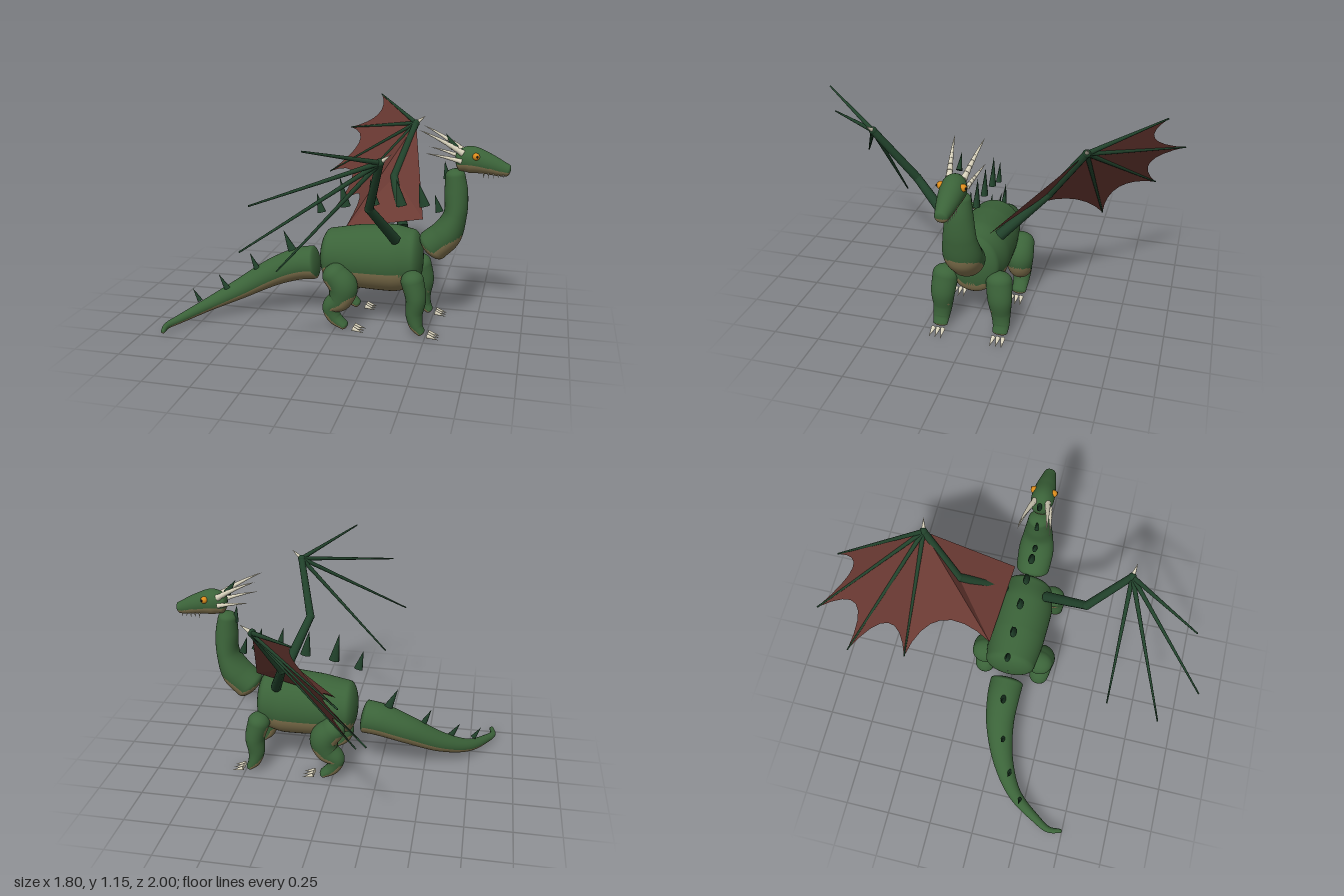
import * as THREE from 'three';

const paint = (name, color, side = THREE.FrontSide) => {
  const m = new THREE.MeshStandardMaterial({ color, side });
  m.name = name;
  return m;
};
const V = (p) => new THREE.Vector3(...p);
const flip = (p, s) => [p[0], p[1], p[2] * s];

export function createModel() {
  const hide = paint('green hide', 0x3b6339);
  const belly = paint('tan belly', 0x857650);
  const dark = paint('dark green', 0x21422b);
  const bone = paint('bone', 0xd8d2bc);
  const skin = paint('wing skin', 0x6b3a33, THREE.DoubleSide);
  const amber = paint('amber', 0xdc8c1c);
  const black = paint('black', 0x15120f);
  const model = new THREE.Group();
  model.name = 'dragon';

  const add = (name, geo, mat) => {
    const mesh = new THREE.Mesh(geo, mat);
    mesh.name = name;
    model.add(mesh);
    return mesh;
  };

  // Round-ended sweep through stations [x, y, z, radius along ref, other radius];
  // downward-facing skin gets the belly colour.
  function sweep(name, stations, cap, ref = [0, 0, 1], steps = 48, sides = 48) {
    const path = new THREE.CatmullRomCurve3(stations.map((s) => V(s.slice(0, 3))));
    const radii = new THREE.CatmullRomCurve3(stations.map((s) => V([s[3], s[4] ?? s[3], 0])));
    const rings = [];
    const capSteps = 8;
    for (let k = 0; k < capSteps; k++) rings.push([0, -Math.PI / 2 * (1 - k / capSteps), cap[0]]);
    for (let k = 0; k <= steps; k++) rings.push([k / steps, 0, 0]);
    for (let k = 1; k <= capSteps; k++) rings.push([1, Math.PI / 2 * k / capSteps, cap[1]]);
    const pos = [];
    for (const [t, ang, len] of rings) {
      const T = path.getTangent(t);
      const a = V(ref).addScaledVector(T, -V(ref).dot(T)).normalize();
      const b = T.clone().cross(a);
      const r = radii.getPoint(t);
      const c = path.getPoint(t).addScaledVector(T, len * Math.sin(ang));
      const k = Math.max(Math.cos(ang), 0.01);
      for (let j = 0; j < sides; j++) {
        const q = j / sides * Math.PI * 2;
        const p = c.clone().addScaledVector(a, r.x * k * Math.cos(q)).addScaledVector(b, r.y * k * Math.sin(q));
        pos.push(p.x, p.y, p.z);
      }
    }
    const tris = [];
    for (let i = 0; i < rings.length - 1; i++) {
      for (let j = 0; j < sides; j++) {
        const A = i * sides + j, B = i * sides + (j + 1) % sides;
        tris.push([A, B, A + sides], [B, B + sides, A + sides]);
      }
    }
    const geo = new THREE.BufferGeometry();
    geo.setAttribute('position', new THREE.Float32BufferAttribute(pos, 3));
    geo.setIndex(tris.flat());
    geo.computeVertexNormals();
    const n = geo.attributes.normal;
    const under = (t) => (n.getY(t[0]) + n.getY(t[1]) + n.getY(t[2])) / 3 < -0.25;
    const top = tris.filter((t) => !under(t)), low = tris.filter(under);
    geo.setIndex([...top, ...low].flat());
    geo.addGroup(0, top.length * 3, 0);
    geo.addGroup(top.length * 3, low.length * 3, 1);
    return add(name, geo, [hide, belly]);
  }

  // Tapered rod or spike from a to b
  function rod(name, a, b, r0, r1, mat, squash = 1, sides = 10) {
    const d = V(b).sub(V(a));
    const geo = new THREE.CylinderGeometry(r1, r0, d.length(), sides);
    geo.scale(1, 1, squash);
    const mesh = add(name, geo, mat);
    mesh.position.copy(V(a)).addScaledVector(d, 0.5);
    mesh.quaternion.setFromUnitVectors(V([0, 1, 0]), d.normalize());
    return mesh;
  }
  function ball(name, p, r, mat) {
    add(name, new THREE.SphereGeometry(r, 16, 12), mat).position.set(...p);
  }

  // Trunk, neck, head and tail
  sweep('body', [[-0.06, 0.383, 0, 0.14, 0.147], [0.1, 0.382, 0, 0.16, 0.177],
    [0.28, 0.387, 0, 0.165, 0.187], [0.4, 0.39, 0, 0.14, 0.165]], [0.055, 0.055]);
  sweep('neck', [[0.505, 0.475, 0, 0.095, 0.09], [0.575, 0.545, 0, 0.1, 0.085],
    [0.62, 0.66, 0, 0.085, 0.062], [0.62, 0.78, 0, 0.07, 0.062], [0.612, 0.87, 0, 0.058, 0.052]], [0.045, 0.035]);
  sweep('head', [[0.632, 0.95, 0, 0.045, 0.055], [0.69, 0.958, 0, 0.062, 0.071], [0.77, 0.942, 0, 0.055, 0.057],
    [0.84, 0.92, 0, 0.042, 0.043], [0.88, 0.91, 0, 0.033, 0.032]], [0.022, 0.016]);
  sweep('tail', [[-0.16, 0.325, 0.005, 0.094], [-0.24, 0.312, 0.005, 0.092], [-0.39, 0.255, 0.02, 0.079],
    [-0.58, 0.155, 0.085, 0.057], [-0.735, 0.085, 0.19, 0.037], [-0.84, 0.05, 0.34, 0.024],
    [-0.88, 0.04, 0.42, 0.018], [-0.873, 0.037, 0.49, 0.012]], [0.025, 0.01], [0, 1, 0], 72);

  // Spines: [base x, y, z, tip x, y, radius]
  for (const [x, y, z, tx, ty, r] of [
    [-0.115, 0.62, 0, -0.143, 0.73, 0.025], [0.02, 0.66, 0, -0.01, 0.82, 0.03],
    [0.18, 0.68, 0, 0.155, 0.825, 0.03], [0.33, 0.685, 0, 0.3, 0.83, 0.03],
    [0.455, 0.69, 0, 0.42, 0.82, 0.03], [0.535, 0.665, 0, 0.508, 0.76, 0.022],
    [0.57, 0.85, 0, 0.555, 0.945, 0.02], [0.605, 1.015, 0, 0.555, 1.09, 0.022],
    [-0.285, 0.39, 0.015, -0.335, 0.505, 0.025], [-0.475, 0.265, 0.06, -0.522, 0.37, 0.022],
    [-0.635, 0.17, 0.135, -0.685, 0.255, 0.019], [-0.765, 0.12, 0.225, -0.805, 0.19, 0.016],
  ]) rod('spine', [x, y, z], [tx, ty, z], r, 0, dark, 0.65);

  const wrist = [0.315, 1.04, 0.55], elbow = [0.225, 0.757, 0.355], shoulder = [0.32, 0.53, 0.12];
  const tips = [[0.04, 1.152, 0.905], [-0.178, 0.918, 0.995], [-0.285, 0.65, 0.85], [-0.195, 0.468, 0.58]];

  for (const s of [1, -1]) {
    // Legs with claws
    sweep('frontLeg', [[0.42, 0.315, 0.145 * s, 0.07, 0.062], [0.443, 0.22, 0.155 * s, 0.065, 0.055],
      [0.437, 0.13, 0.16 * s, 0.052, 0.046], [0.45, 0.07, 0.165 * s, 0.045, 0.036],
      [0.475, 0.035, 0.165 * s, 0.04, 0.022]], [0.055, 0.015]);
    sweep('hindLeg', [[-0.002, 0.32, 0.16 * s, 0.075, 0.07], [0.045, 0.26, 0.165 * s, 0.077, 0.08],
      [0.03, 0.185, 0.165 * s, 0.068, 0.068], [-0.022, 0.135, 0.165 * s, 0.055, 0.047],
      [-0.003, 0.075, 0.165 * s, 0.046, 0.038], [0.05, 0.033, 0.165 * s, 0.04, 0.024]], [0.06, 0.02]);
    for (const x of [0.105, 0.512]) {
      for (const dz of [-0.032, 0, 0.032]) {
        rod('claw', [x, 0.026, 0.165 * s + dz * 0.8], [x + 0.064, 0.009, 0.165 * s + dz], 0.013, 0, bone);
      }
    }

    // Eyes, teeth and ridged horns
    ball('eye', [0.72, 0.985, 0.054 * s], 0.019, amber);
    ball('pupil', [0.728, 0.986, 0.069 * s], 0.006, black);
    for (let i = 0; i < 5; i++) {
      const x = 0.76 + i * 0.025, z = (0.032 - i * 0.002) * s;
      rod('tooth', [x, 0.895, z], [x, 0.868, z], 0.005, 0, bone, 1, 6);
    }
    for (const [a, m, b, r] of [
      [[0.65, 0.995, 0.035], [0.53, 1.075, 0.06], [0.425, 1.115, 0.075], 0.018],
      [[0.645, 0.955, 0.05], [0.55, 0.985, 0.075], [0.46, 0.997, 0.088], 0.014],
    ]) {
      const curve = new THREE.QuadraticBezierCurve3(V(flip(a, s)), V(flip(m, s)), V(flip(b, s)));
      const n = 8;
      for (let i = 0; i < n; i++) {
        const r0 = r * (1 - i / n);
        rod('horn', curve.getPoint(i / n).toArray(), curve.getPoint((i + 1) / n).toArray(),
          r0, i === n - 1 ? 0 : r0 * 0.7, bone);
      }
    }

    // Wing arm and fingers
    rod('upperArm', flip(shoulder, s), flip(elbow, s), 0.03, 0.023, dark);
    rod('forearm', flip(elbow, s), flip(wrist, s), 0.023, 0.019, dark);
    ball('elbow', flip(elbow, s), 0.024, dark);
    ball('wrist', flip(wrist, s), 0.021, dark);
    for (const t of tips) rod('finger', flip(wrist, s), flip(t, s), 0.013, 0.004, dark);
    rod('thumbClaw', flip(wrist, s), [0.372, 1.085, 0.562 * s], 0.014, 0, bone);
  }

  // Right wing skin: scalloped fan from the wrist plus inner panels
  const [W, E] = [wrist, elbow].map((p) => V(flip(p, -1)));
  const rear = V([-0.01, 0.5, -0.13]), front = V([0.435, 0.59, -0.09]);
  const edge = [...tips.map((t) => V(flip(t, -1))), rear];
  const verts = [];
  const tri = (...ps) => ps.forEach((p) => verts.push(...p.toArray()));
  for (let i = 0; i < edge.length - 1; i++) {
    const ctrl = edge[i].clone().lerp(edge[i + 1], 0.5).lerp(W, 0.52);
    const pts = new THREE.QuadraticBezierCurve3(edge[i], ctrl, edge[i + 1]).getPoints(8);
    for (let k = 0; k < 8; k++) tri(W, pts[k], pts[k + 1]);
  }
  tri(W, rear, E);
  tri(E, rear, front);
  tri(W, E, front);
  const wing = new THREE.BufferGeometry();
  wing.setAttribute('position', new THREE.Float32BufferAttribute(verts, 3));
  wing.computeVertexNormals();
  add('wingSkin', wing, skin);

  return model;
}
